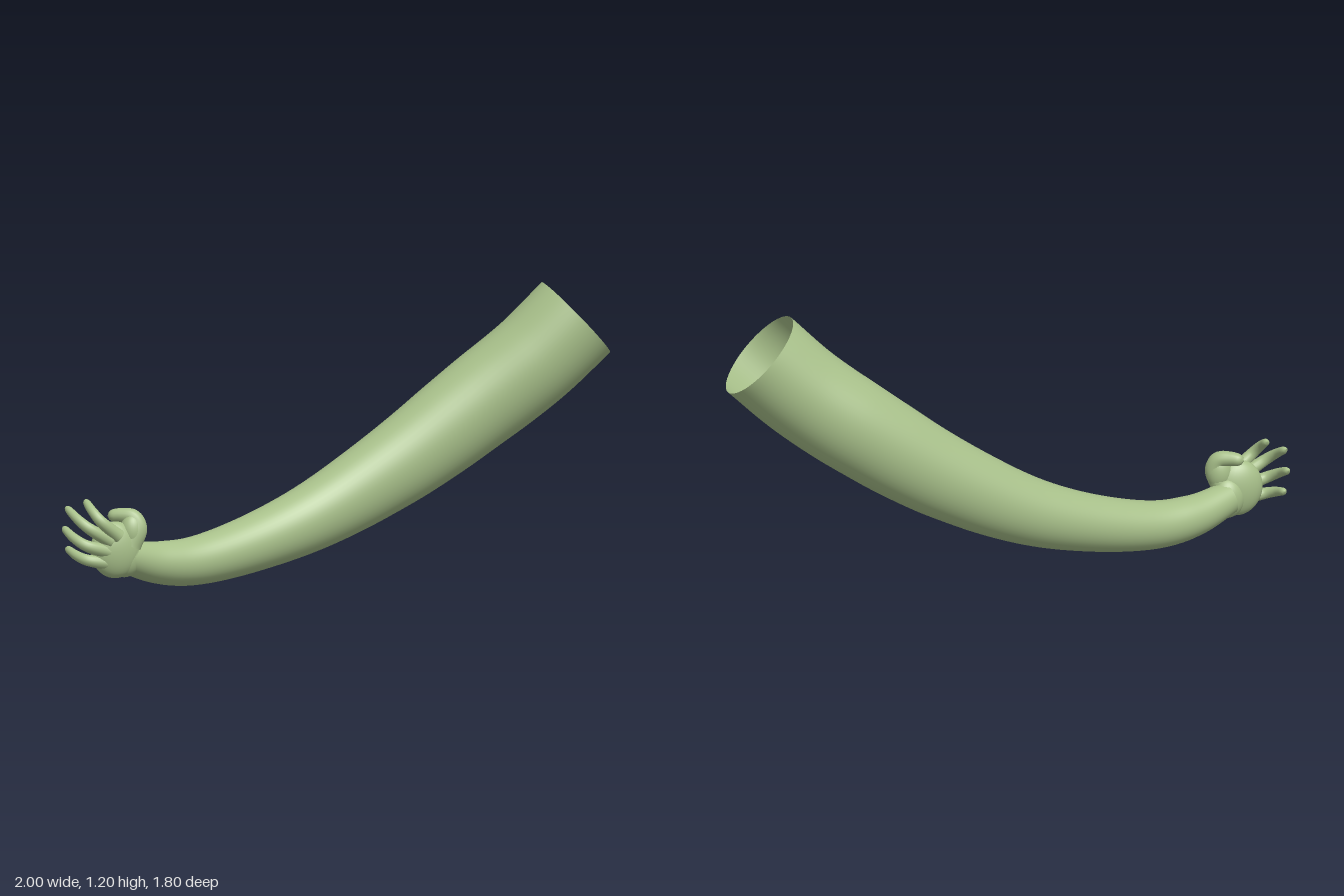
import * as THREE from 'three';

// Skin of a tube swept along a curve; ref gives the direction of angle 0,
// stretch widens the tube along it
function sweep(points, radiusAt, ref, rings, sides, stretch = () => 1) {
  const curve = new THREE.CatmullRomCurve3(points.map(p => new THREE.Vector3(...p)));
  const pos = [], idx = [];
  for (let i = 0; i <= rings; i++) {
    const t = i / rings, axis = curve.getTangentAt(t), centre = curve.getPointAt(t);
    const up = ref.clone().addScaledVector(axis, -ref.dot(axis)).normalize();
    const side = new THREE.Vector3().crossVectors(axis, up);
    for (let j = 0; j < sides; j++) {
      const a = (j / sides) * Math.PI * 2;
      const v = centre.clone()
        .addScaledVector(up, Math.cos(a) * radiusAt(t) * stretch(t))
        .addScaledVector(side, Math.sin(a) * radiusAt(t));
      pos.push(v.x, v.y, v.z);
      if (i === rings) continue;
      const p = i * sides + j, q = i * sides + (j + 1) % sides;
      idx.push(p, q, p + sides, q, q + sides, p + sides);
    }
  }
  const g = new THREE.BufferGeometry();
  g.setAttribute('position', new THREE.Float32BufferAttribute(pos, 3));
  g.setIndex(idx);
  g.computeVertexNormals();
  return g;
}

// Evenly spaced values, blended linearly
function ramp(values) {
  return t => {
    const f = Math.min(t, 0.99999) * (values.length - 1), i = Math.floor(f);
    return THREE.MathUtils.lerp(values[i], values[i + 1], f - i);
  };
}

// Finger with a rounded tip
function digit(points, r0, r1) {
  const radius = t => {
    const tip = Math.max(0, (t - 0.88) / 0.12);
    return THREE.MathUtils.lerp(r0, r1, t) * Math.sqrt(Math.max(0, 1 - tip * tip)) + 0.0002;
  };
  return sweep(points, radius, new THREE.Vector3(0, 0, 1), 32, 16);
}

export function createModel() {
  const model = new THREE.Group();
  model.name = 'arm';
  const green = new THREE.MeshStandardMaterial({ color: 0xa8c08a, side: THREE.DoubleSide });
  green.name = 'pale green skin';
  const add = (name, geometry, parent) => {
    const m = new THREE.Mesh(geometry, green);
    m.name = name;
    parent.add(m);
    return m;
  };

  // Arm from wrist to the open shoulder, deeper than wide above the elbow
  add('arm skin', sweep(
    [
      [-0.75, 0.16, 0.72], [-0.65, 0.115, 0.57], [-0.51, 0.107, 0.4], [-0.17, 0.227, 0.03],
      [0.16, 0.44, -0.26], [0.47, 0.695, -0.49], [0.68, 0.875, -0.61], [0.84, 1.045, -0.7],
    ],
    ramp([0.07, 0.095, 0.11, 0.122, 0.135, 0.148, 0.162, 0.176, 0.19, 0.201, 0.212]),
    new THREE.Vector3(0, 1, 0), 72, 48,
    ramp([1, 1, 1, 1.03, 1.07, 1.11, 1.12, 1.11, 1.07, 1.02, 0.98]),
  ), model);

  // Hand
  const hand = new THREE.Group();
  hand.name = 'hand';
  model.add(hand);

  const ellipsoid = (name, size, position, turn, roll) => {
    const m = add(name, new THREE.SphereGeometry(1, 32, 24), hand);
    m.scale.set(...size);
    m.position.set(...position);
    m.rotation.set(0, turn, roll);
  };
  ellipsoid('palm', [0.108, 0.122, 0.058], [-0.775, 0.193, 0.77], 0.62, 0.12);
  ellipsoid('palm heel', [0.075, 0.09, 0.062], [-0.745, 0.16, 0.725], 0.62, 0);
  ellipsoid('thumb mound', [0.055, 0.08, 0.048], [-0.71, 0.265, 0.725], 0.62, 0);

  const fingers = {
    indexFinger: [[-0.75, 0.255, 0.8], [-0.81, 0.325, 0.86], [-0.85, 0.365, 0.85], [-0.9, 0.405, 0.795]],
    middleFinger: [[-0.78, 0.235, 0.81], [-0.86, 0.295, 0.872], [-0.91, 0.33, 0.865], [-0.98, 0.375, 0.81]],
    ringFinger: [[-0.79, 0.19, 0.81], [-0.87, 0.22, 0.872], [-0.93, 0.25, 0.86], [-0.995, 0.285, 0.8]],
    littleFinger: [[-0.79, 0.14, 0.8], [-0.87, 0.155, 0.85], [-0.92, 0.17, 0.84], [-0.985, 0.195, 0.785]],
  };
  for (const [name, points] of Object.entries(fingers)) add(name, digit(points, 0.031, 0.015), hand);

  add('thumb', digit([[-0.72, 0.21, 0.73], [-0.69, 0.28, 0.718], [-0.71, 0.325, 0.715],
    [-0.76, 0.335, 0.72], [-0.82, 0.33, 0.725]], 0.05, 0.024), hand);

  return model;
}
